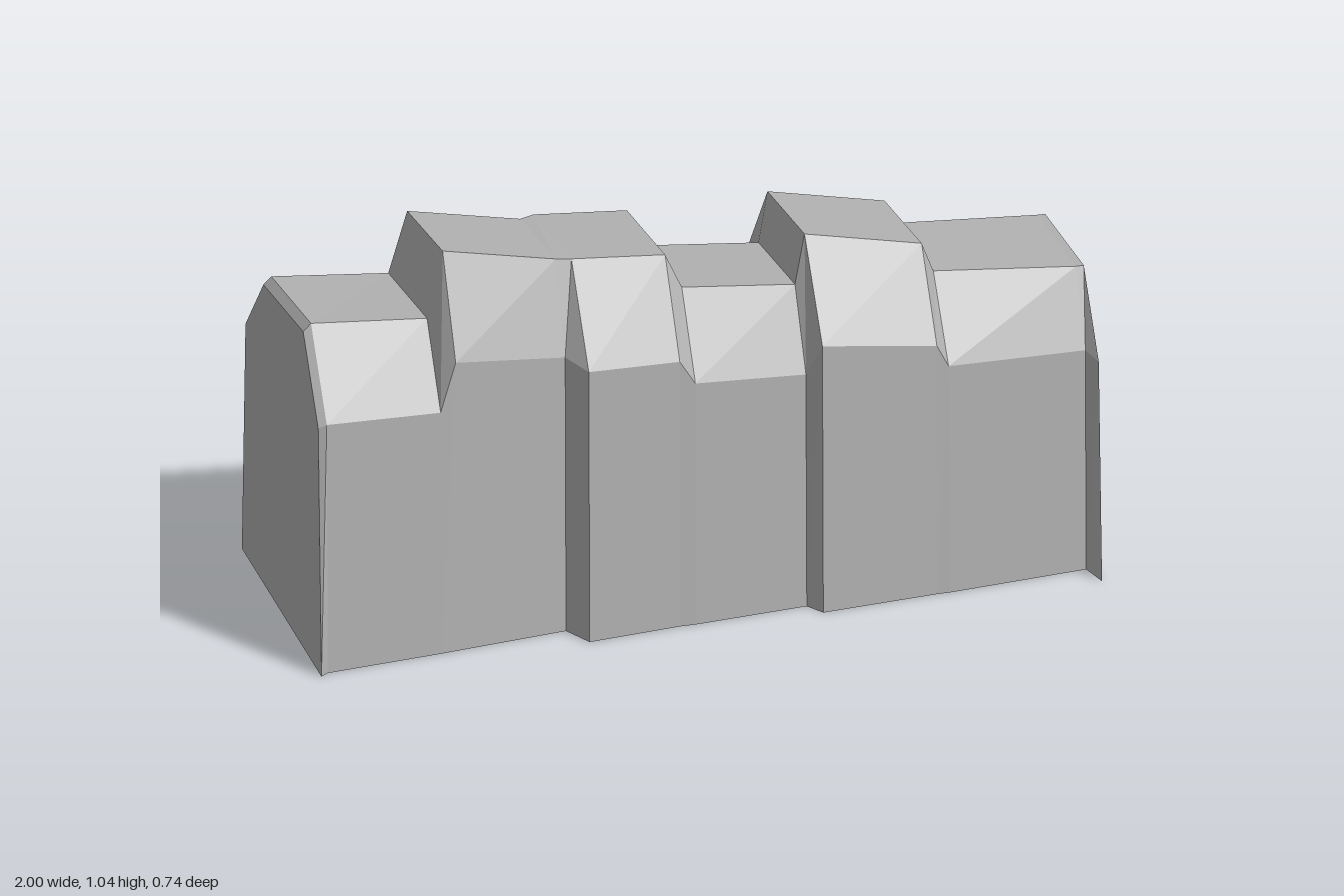
import * as THREE from 'three';

// Cross-sections along the ridge: x, crest height, front shoulder height, front base z, back base z, back crest z
const stations = [
  [-1.00, 0.87, 0.67, 0.37, -0.37, -0.17],
  [-0.98, 0.89, 0.68, 0.355, -0.36, -0.17],
  [-0.68, 0.86, 0.66, 0.325, -0.36, -0.17],
  [-0.64, 1.04, 0.79, 0.32, -0.32, -0.14],
  [-0.35, 0.98, 0.75, 0.285, -0.32, -0.14],
  [-0.31, 0.975, 0.74, 0.36, -0.37, -0.165],
  [-0.07, 0.955, 0.725, 0.335, -0.37, -0.165],
  [-0.03, 0.865, 0.66, 0.335, -0.345, -0.14],
  [0.26, 0.835, 0.635, 0.31, -0.345, -0.14],
  [0.29, 0.96, 0.73, 0.355, -0.365, -0.165],
  [0.59, 0.895, 0.68, 0.33, -0.365, -0.165],
  [0.62, 0.815, 0.62, 0.33, -0.33, -0.16],
  [0.98, 0.79, 0.60, 0.295, -0.33, -0.16],
  [1.00, 0.79, 0.59, 0.37, -0.37, -0.16],
];

// Six-cornered outline, running from the front base over the crest to the back base
function outline([x, crest, shoulder, front, back, backCrest]) {
  const isEnd = Math.abs(x) === 1;
  const crestZ = x > -0.7 && x < -0.05 ? 0.19 : x > 0.28 && x < 0.7 ? 0.18 : 0.2;
  return [
    [x, 0, front],
    [x, shoulder, front - (isEnd ? 0.03 : 0.008)],
    [x, crest, crestZ],
    [x, crest - (x > 0.6 ? 0.03 : 0.047), backCrest],
    [x, shoulder - 0.035, back + 0.033],
    [x, 0, back],
  ];
}

export function createModel() {
  const rings = stations.map(outline);
  const positions = [];
  const triangle = (a, b, c) => positions.push(...a, ...b, ...c);

  // Sides, top and underside
  for (let i = 0; i < rings.length - 1; i++) {
    for (let j = 0; j < 6; j++) {
      const k = (j + 1) % 6;
      const a = rings[i][j], b = rings[i + 1][j], c = rings[i + 1][k], d = rings[i][k];
      triangle(a, b, c);
      triangle(a, c, d);
    }
  }

  // End faces
  const first = rings[0], last = rings[rings.length - 1];
  for (let j = 1; j < 5; j++) {
    triangle(first[0], first[j], first[j + 1]);
    triangle(last[0], last[j + 1], last[j]);
  }

  const geometry = new THREE.BufferGeometry();
  geometry.setAttribute('position', new THREE.Float32BufferAttribute(positions, 3));
  geometry.computeVertexNormals();

  const stone = new THREE.MeshStandardMaterial({ color: 0xb4b4b4 });
  stone.name = 'stone grey';

  const ridge = new THREE.Mesh(geometry, stone);
  ridge.name = 'steppedRockRidge';
  const group = new THREE.Group();
  group.name = 'rockWall';
  group.add(ridge);
  return group;
}
